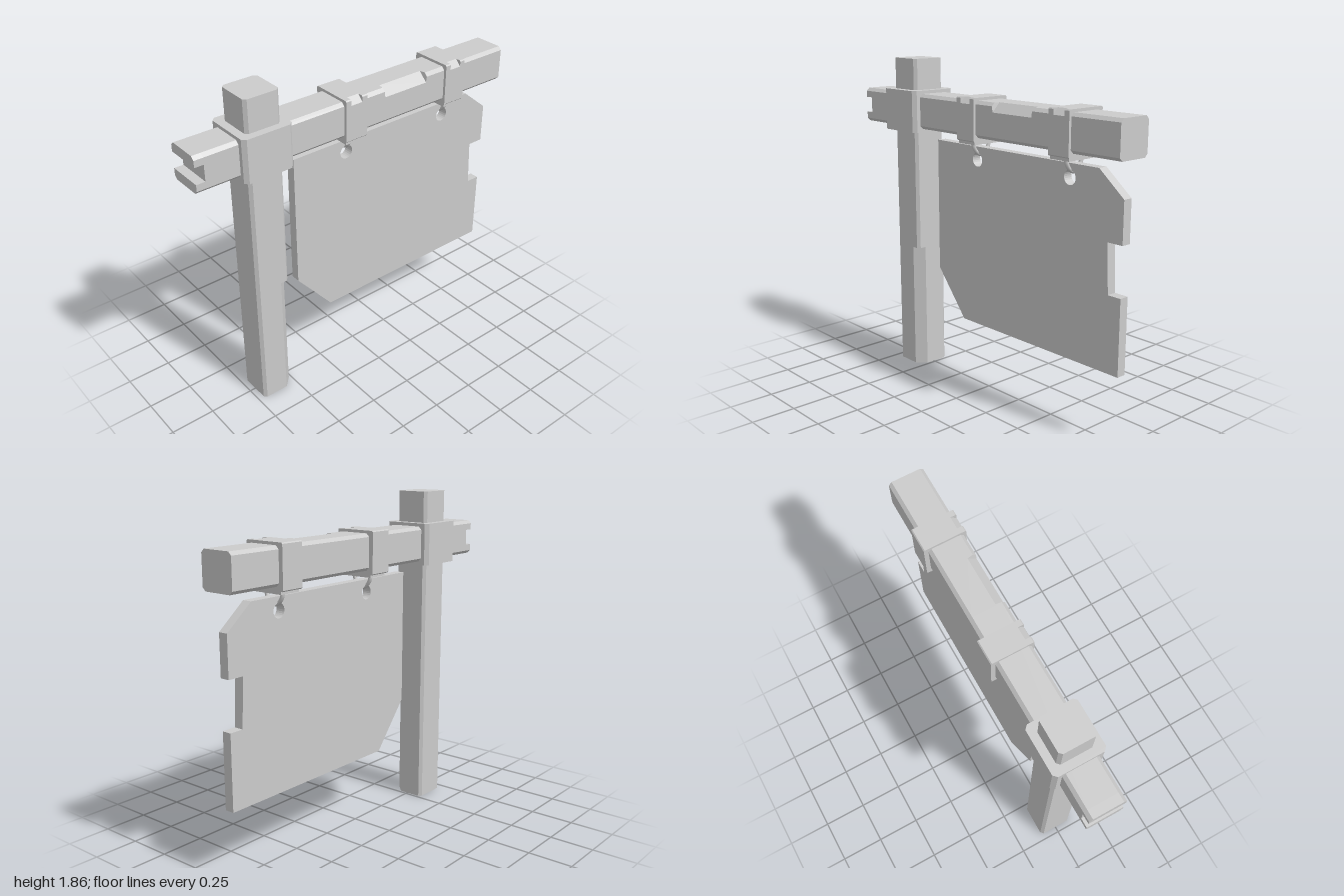
import * as THREE from 'three';

const material = new THREE.MeshStandardMaterial({ color: 0xcccccc, flatShading: true, side: THREE.DoubleSide });
const smooth = new THREE.MeshStandardMaterial({ color: 0xcccccc });

// Rectangle with chamfered corners; k is the chamfer of the (a1, b1) corner
function chamfered(a0, a1, b0, b1, c, k = c) {
  return [[a1, b0 + c], [a1, b1 - k], [a1 - k, b1], [a0 + c, b1],
    [a0, b1 - c], [a0, b0 + c], [a0 + c, b0], [a1 - c, b0]];
}

// Joins sections [t, outline] along the x axis (outline = y, z) or the y axis (outline = z, x)
function loft(name, axis, sections, capStart = true) {
  const at = (t, [a, b]) => (axis === 'x' ? [t, a, b] : [b, t, a]);
  const pos = [];
  const tri = (...pts) => pts.forEach((p) => pos.push(...p));
  for (let s = 0; s < sections.length - 1; s++) {
    const [t0, r0] = sections[s], [t1, r1] = sections[s + 1];
    r0.forEach((p, i) => {
      const j = (i + 1) % r0.length;
      const A = at(t0, p), B = at(t0, r0[j]), C = at(t1, r1[j]), D = at(t1, r1[i]);
      tri(A, B, C);
      tri(A, C, D);
    });
  }
  const [ts, rs] = sections[0], [te, re] = sections[sections.length - 1];
  for (let i = 1; i < re.length - 1; i++) {
    if (capStart) tri(at(ts, rs[0]), at(ts, rs[i + 1]), at(ts, rs[i]));
    tri(at(te, re[0]), at(te, re[i]), at(te, re[i + 1]));
  }
  const geo = new THREE.BufferGeometry();
  geo.setAttribute('position', new THREE.Float32BufferAttribute(pos, 3));
  geo.computeVertexNormals();
  const mesh = new THREE.Mesh(geo, material);
  mesh.name = name;
  return mesh;
}

// Band around the beam with a chipped top edge, a plate below and a hook
function hanger(x) {
  const group = new THREE.Group();
  group.name = 'hanger';
  const whole = chamfered(1.443, 1.68, -0.125, 0.115, 0.006);
  const chipped = chamfered(1.443, 1.68, -0.125, 0.115, 0.006, 0.034);
  group.add(loft('band', 'x', [[-0.069, whole], [-0.036, whole], [-0.036, chipped],
    [0.036, chipped], [0.036, whole], [0.069, whole]]));

  const plate = new THREE.Mesh(new THREE.BoxGeometry(0.125, 0.018, 0.21), material);
  plate.name = 'hookPlate';
  plate.position.y = 1.436;
  group.add(plate);

  const path = [[1.436, -0.055], [1.405, -0.052], [1.373, -0.03], [1.36, 0],
    [1.373, 0.03], [1.405, 0.052], [1.436, 0.055]].map(([y, z]) => new THREE.Vector3(0, y, z));
  const hook = new THREE.Mesh(
    new THREE.TubeGeometry(new THREE.CatmullRomCurve3(path), 24, 0.011, 8), smooth);
  hook.name = 'hook';
  group.add(hook);
  group.position.x = x;
  return group;
}

export function createModel() {
  const model = new THREE.Group();
  model.name = 'hangingSign';

  // Hollow-bottomed post with one corner cut back on the lower part
  const post = chamfered(-0.1, 0.1, -0.715, -0.515, 0.016);
  const cutPost = chamfered(-0.1, 0.1, -0.715, -0.515, 0.016, 0.052);
  model.add(loft('post', 'y', [[0, cutPost], [0.745, cutPost], [0.745, post], [1.86, post]], false));

  // Beam with a chip in its top front edge
  const beam = chamfered(1.465, 1.665, -0.1, 0.1, 0.018);
  const chip = chamfered(1.465, 1.665, -0.1, 0.1, 0.018, 0.05);
  model.add(loft('beam', 'x', [[-0.95, beam], [0.133, beam], [0.138, chip],
    [0.424, chip], [0.429, beam], [1, beam]]));

  // Two prongs that leave a notch in the beam's end
  const upper = [[1.61, -0.1], [1.647, -0.1], [1.665, -0.082], [1.665, 0.082], [1.647, 0.1], [1.61, 0.1]];
  const lower = upper.map(([y, z]) => [3.13 - y, z]).reverse();
  for (const prong of [upper, lower]) {
    model.add(loft('beamProng', 'x', [[-1, prong], [-0.95, prong]]));
  }

  // Collar where post and beam cross
  const collar = chamfered(-0.143, 0.143, -0.76, -0.474, 0.02);
  model.add(loft('collar', 'y', [[1.445, collar], [1.683, collar]]));

  // Board with clipped corners, a notch and two holes
  const outline = [[-0.405, 1.405], [-0.405, 0.64], [-0.185, 0.375], [0.975, 0.375], [0.975, 0.785],
    [0.895, 0.785], [0.882, 1.05], [0.975, 1.05], [0.975, 1.275], [0.815, 1.405]];
  const shape = new THREE.Shape(outline.map(([x, y]) => new THREE.Vector2(x, y)));
  const hangerX = [-0.064, 0.626];
  for (const x of hangerX) {
    shape.holes.push(new THREE.Path().absarc(x, 1.332, 0.039, 0, Math.PI * 2, true));
    model.add(hanger(x));
  }
  const boardGeo = new THREE.ExtrudeGeometry(shape, { depth: 0.054, bevelEnabled: false, curveSegments: 12 });
  boardGeo.translate(0, 0, -0.027);
  const board = new THREE.Mesh(boardGeo, material);
  board.name = 'signBoard';
  model.add(board);

  return model;
}
